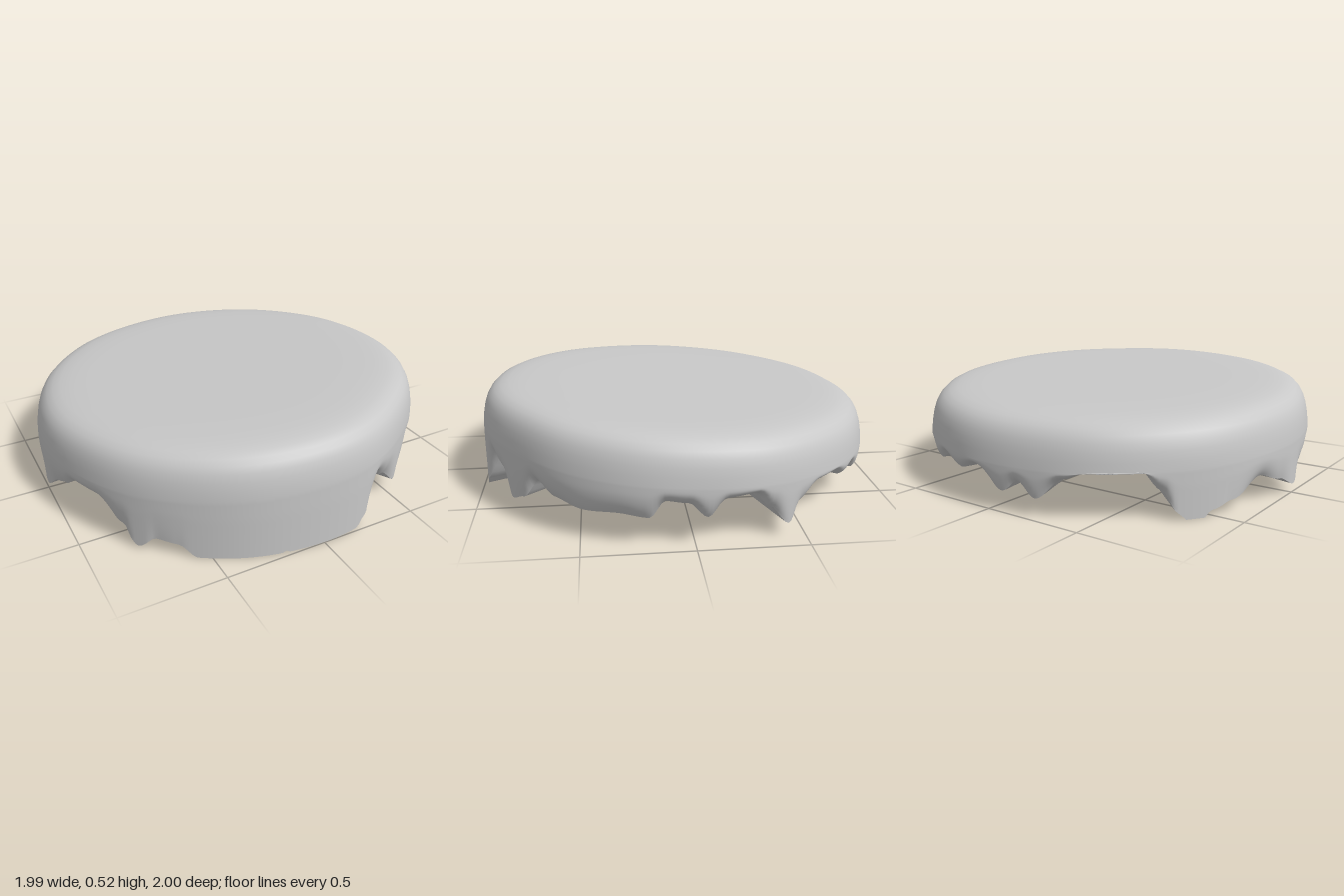
import * as THREE from 'three';

// Hem height by compass angle in degrees (0 = front, 90 = +x); below 0 is cut flat
const HEM = [
  [-33, -0.01], [-28, -0.09], [-20, -0.1], [-15, -0.05], [-11, 0.01], [-8, -0.04], [-2, -0.1], [6, -0.08],
  [11, 0], [14, 0.05], [20, 0.21], [26, 0.16], [33, 0.07], [38, 0.1], [43, 0.2], [50, 0.16],
  [60, 0.14], [70, 0.15], [78, 0.14], [82, 0.21], [88, 0.2], [93, 0.14], [98, 0.21], [106, 0.22],
  [110, 0.15], [115, 0.06], [120, 0.14], [126, 0.2], [134, 0.21], [140, 0.16], [145, 0.19], [151, 0.13],
  [158, 0.18], [166, 0.14], [174, 0.18], [184, 0.09], [188, 0.14], [194, 0.08], [201, 0.17], [210, 0.23],
  [220, 0.23], [226, 0.13], [230, 0.03], [234, -0.06], [239, 0.03], [245, 0.06], [256, 0.13], [264, 0.09],
  [271, 0.04], [277, 0.11], [281, 0.13], [286, 0.18], [296, 0.18], [305, 0.1], [310, 0.01], [315, 0.07],
  [321, 0.06], [327, -0.01],
];
const SEGMENTS = 360;
const HUB_R = 0.28, ROOF_Y = 0.135;

function hem(a) {
  let d = THREE.MathUtils.radToDeg(a);
  if (d > 327) d -= 360;
  const i = Math.max(1, HEM.findIndex((p) => p[0] >= d));
  const [d0, h0] = HEM[i - 1], [d1, h1] = HEM[i];
  const t = (d - d0) / (d1 - d0);
  return h0 + (h1 - h0) * t * t * (3 - 2 * t);
}

// Slightly uneven round outline
function outline(a) {
  const dent = Math.exp(-(((a - 0.68) / 0.25) ** 2));
  return 0.998 - 0.016 * dent + 0.003 * Math.sin(9 * a) * Math.sin(2 * a + 1);
}

const topY = (x, z) => 0.478 + 0.02 * x + 0.055 * z;

// The folds meet the recess lower at the front than at the back
const hubY = (a) => 0.112 - 0.022 * Math.cos(a + 0.6);

function hemPoint(a) {
  const h = hem(a);
  return { r: outline(a) - 0.35 * Math.max(0, h - 0.05), h };
}

// Closed ring grid; point(row, angle) returns [radius, height]
function ringSurface(rows, point) {
  const positions = [], index = [];
  for (let i = 0; i < rows; i++) {
    for (let j = 0; j < SEGMENTS; j++) {
      const a = (j / SEGMENTS) * Math.PI * 2;
      const [r, y] = point(i, a);
      positions.push(r * Math.sin(a), y, r * Math.cos(a));
      if (i === rows - 1) continue;
      const k = (j + 1) % SEGMENTS;
      const p = i * SEGMENTS + j, q = i * SEGMENTS + k;
      index.push(p, p + SEGMENTS, q, q, p + SEGMENTS, q + SEGMENTS);
    }
  }
  const g = new THREE.BufferGeometry();
  g.setAttribute('position', new THREE.Float32BufferAttribute(positions, 3));
  g.setIndex(index);
  g.computeVertexNormals();
  return g;
}

export function createModel() {
  const group = new THREE.Group();
  group.name = 'drapedDisc';
  const grey = new THREE.MeshStandardMaterial({ color: 0xc8c8c8 });
  grey.name = 'plain grey';
  grey.side = THREE.DoubleSide;

  const add = (name, geometry) => {
    const mesh = new THREE.Mesh(geometry, grey);
    mesh.name = name;
    group.add(mesh);
  };

  // Tilted top with a rounded shoulder, running down to the dripping hem
  const shoulder = [
    [0, 0], [0.3, 0], [0.6, 0], [0.72, 0.001], [0.8, 0.004], [0.86, 0.01], [0.9, 0.02], [0.932, 0.036],
    [0.956, 0.06], [0.973, 0.09], [0.985, 0.127], [0.993, 0.168], [0.998, 0.21],
  ];
  const WALL = 14;
  add('topAndSkirt', ringSurface(shoulder.length + WALL, (i, a) => {
    const out = outline(a);
    const level = (r) => topY(r * Math.sin(a), r * Math.cos(a));
    if (i < shoulder.length) {
      const r = shoulder[i][0] * out;
      return [r, level(r) - shoulder[i][1]];
    }
    const t = (i - shoulder.length + 1) / WALL;
    const end = hemPoint(a);
    const start = level(out) - 0.21;
    const r = out * (0.998 + 0.002 * Math.min(1, t * 3));
    return [r + (end.r - out) * t ** 3, THREE.MathUtils.lerp(start, Math.max(0, end.h), t)];
  }));

  // Radial folds running from the hem in to the hub, cut flat at the ground
  const FOLD = 24;
  add('undersideFolds', ringSurface(FOLD + 1, (i, a) => {
    const t = i / FOLD;
    const end = hemPoint(a);
    const ripple = 0.003 * Math.sin(31 * a) * Math.sin(Math.PI * t);
    const y = THREE.MathUtils.lerp(end.h, hubY(a), t) + ripple;
    return [THREE.MathUtils.lerp(end.r, HUB_R, t), Math.max(0, y)];
  }));

  // Shallow round recess in the middle of the underside
  add('recessWall', ringSurface(2, (i, a) => [HUB_R, i ? ROOF_Y : hubY(a)]));
  add('recessRoof', ringSurface(2, (i) => [HUB_R * (1 - i), ROOF_Y]));
  return group;
}
